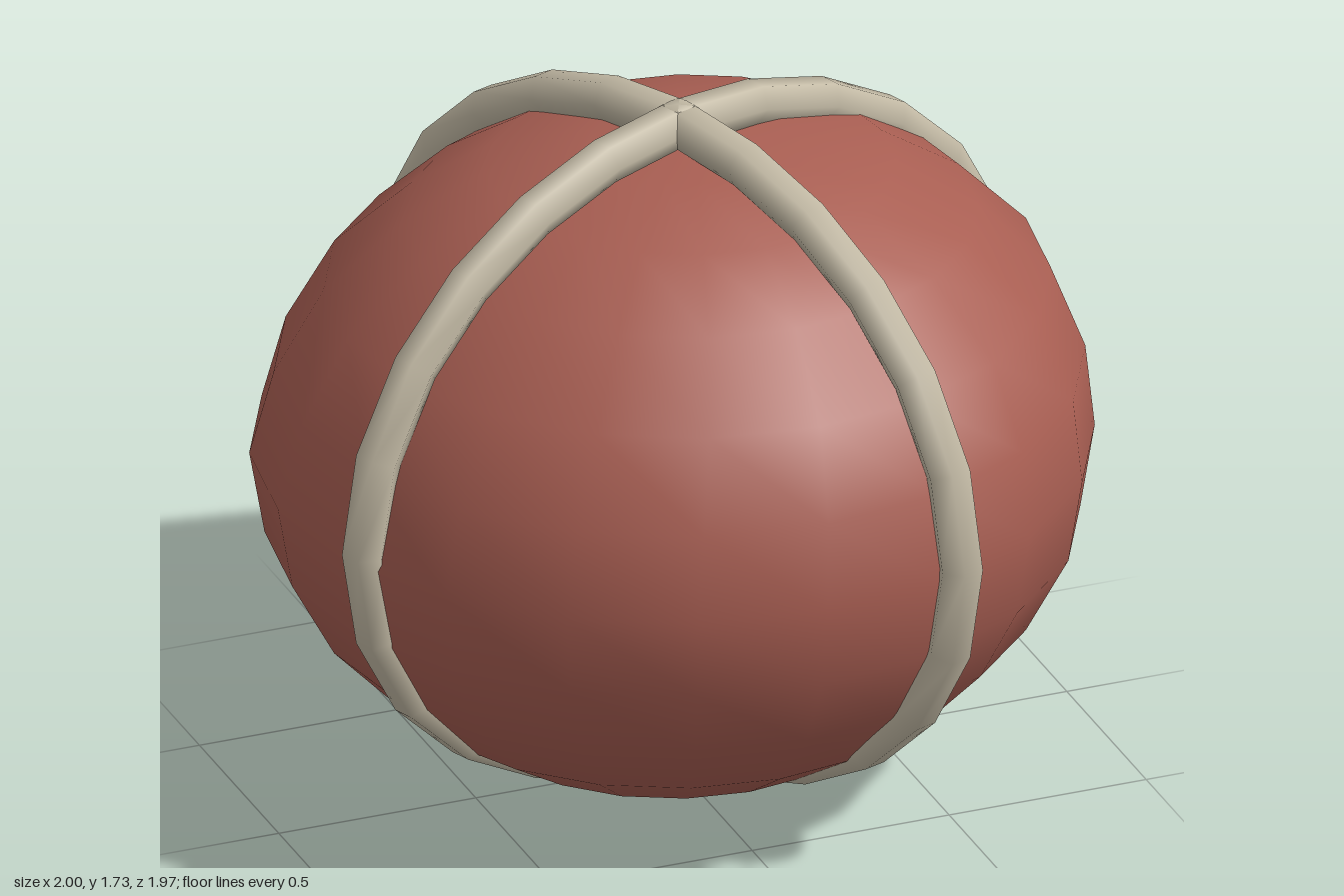
import * as THREE from 'three';

// Upright oval path for a band; starts at the top
class OvalPath extends THREE.Curve {
  getPoint(t, target = new THREE.Vector3()) {
    const a = t * Math.PI * 2;
    return target.set(0.992 * Math.sin(a), 0.88 + 0.8 * Math.cos(a), 0);
  }
}

export function createModel() {
  const model = new THREE.Group();
  const red = new THREE.MeshStandardMaterial({ color: 0xa85e52 });
  red.name = 'brick red';
  const cream = new THREE.MeshStandardMaterial({ color: 0xc3baa5 });
  cream.name = 'cream';

  // Squashed round body
  const profile = [
    [0, 0], [0.28, 0.042], [0.49, 0.13], [0.69, 0.255], [0.86, 0.435],
    [0.965, 0.635], [1, 0.85], [0.96, 1.05], [0.86, 1.25], [0.68, 1.42],
    [0.485, 1.545], [0.24, 1.61], [0, 1.625],
  ].map(([r, y]) => new THREE.Vector2(r, y));
  const bodyGeometry = new THREE.LatheGeometry(profile, 20);
  // The upper half leans to the back left, the lower half slightly to the back
  const pos = bodyGeometry.attributes.position;
  for (let i = 0; i < pos.count; i++) {
    const rise = THREE.MathUtils.clamp((pos.getY(i) - 0.85) / 0.5, -1, 1);
    const [leanX, leanZ] = rise > 0 ? [0.06, -0.032] : [0.012, -0.022];
    pos.setX(i, pos.getX(i) + leanX * Math.abs(rise));
    pos.setZ(i, pos.getZ(i) * 0.98 - 0.005 + leanZ * Math.abs(rise));
  }
  const body = new THREE.Mesh(bodyGeometry, red);
  body.name = 'body';
  model.add(body);

  // Two crossing bands, sunk into the underside
  const bandGeometry = new THREE.TubeGeometry(new OvalPath(), 24, 0.056, 6, true);
  ['sideBand', 'frontBand'].forEach((name, i) => {
    const band = new THREE.Mesh(bandGeometry, cream);
    band.name = name;
    band.rotation.y = THREE.MathUtils.degToRad(20 + 90 * i);
    band.position.set(0.015, 0, 0);
    model.add(band);
  });

  return model;
}
